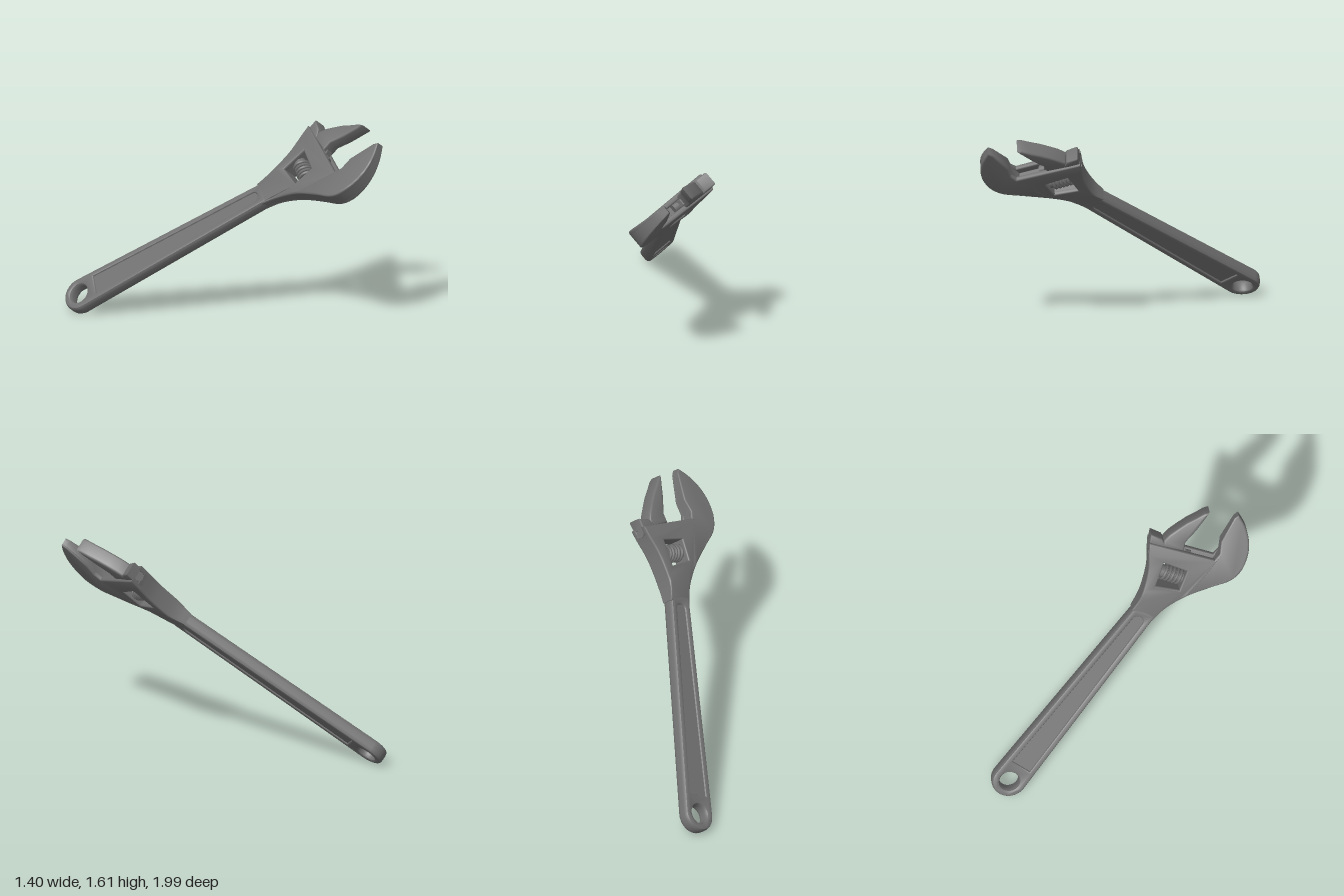
import * as THREE from 'three';
import { toCreasedNormals } from 'three/addons/utils/BufferGeometryUtils.js';

const steel = new THREE.MeshStandardMaterial({ color: 0x707070 });
steel.name = 'steel grey';

const vecs = (pts) => pts.map(([x, y]) => new THREE.Vector2(x, y));
const mix = THREE.MathUtils.lerp;
const ramp = THREE.MathUtils.smoothstep;

// Plate between z0 and z1 whose bevel stays inside the drawn outline
function plate(name, outline, holes, z0, z1, bevel, bevelDepth = bevel, warp) {
  const shape = new THREE.Shape(outline);
  holes.forEach((h) => shape.holes.push(new THREE.Path(h)));
  let geo = new THREE.ExtrudeGeometry(shape, {
    depth: z1 - z0 - 2 * bevelDepth,
    bevelEnabled: bevel > 0,
    bevelSize: bevel,
    bevelThickness: bevelDepth,
    bevelOffset: -bevel,
    bevelSegments: 3,
    curveSegments: 24,
  });
  geo.translate(0, 0, z0 + bevelDepth);
  if (warp) {
    const p = geo.attributes.position;
    for (let i = 0; i < p.count; i++) p.setZ(i, p.getZ(i) * warp(p.getX(i), p.getY(i)));
  }
  geo = toCreasedNormals(geo, 0.6);
  const mesh = new THREE.Mesh(geo, steel);
  mesh.name = name;
  return mesh;
}

function arc(radius, from, to, n) {
  return Array.from({ length: n + 1 }, (_, i) => {
    const a = mix(from, to, i / n);
    return new THREE.Vector2(radius * Math.cos(a), radius * Math.sin(a));
  });
}

// Tapered panel with a rounded far end
function panel(w0, w1, y0, y1) {
  const end = arc(w1, 0, Math.PI, 12).map((p) => new THREE.Vector2(p.x, p.y + y1 - w1));
  return [new THREE.Vector2(-w0, y0), new THREE.Vector2(w0, y0), ...end];
}

// Handle: eye at the origin, running along +y
function makeHandle() {
  const g = new THREE.Group();
  g.name = 'handle';
  const outline = [
    ...vecs([[0.085, 1.63], [-0.085, 1.63]]),
    ...arc(0.125, Math.PI, Math.PI * 2, 24),
  ];
  const eye = arc(0.068, 0, Math.PI * 2, 28).slice(0, -1);
  g.add(plate('handleRim', outline, [eye, panel(0.07, 0.035, 0.145, 1.56)], -0.048, 0.048, 0.018, 0.03));
  g.add(plate('handlePanel', panel(0.096, 0.06, 0.112, 1.6), [], -0.036, 0.036, 0));
  return g;
}

// Head thins towards the neck and towards the fixed jaw tip
function headTaper(x, y) {
  const neck = mix(0.6, 1, ramp(y, 0.88, 1.06));
  const tip = x > 0.7 ? mix(1, 0.45, THREE.MathUtils.clamp((y - 1.15) / 0.4, 0, 1)) : 1;
  return neck * tip;
}

function makeHead() {
  const g = new THREE.Group();
  g.name = 'head';
  const curve = (pts, n) => new THREE.SplineCurve(vecs(pts)).getPoints(n);
  const belly = curve([[0.255, 0.815], [0.36, 0.9], [0.515, 0.98], [0.7, 1.03], [0.835, 1.06],
    [0.92, 1.125], [0.98, 1.235], [1.0, 1.35], [0.986, 1.46], [0.95, 1.555]], 36);
  const jawFace = vecs([[0.918, 1.535], [0.805, 1.37], [0.785, 1.28]]);
  const back = curve([[0.285, 1.36], [0.265, 1.22], [0.2, 1.04], [0.125, 0.93]], 12);
  const outline = (seat) => [...belly, ...jawFace, ...vecs(seat), ...back];
  const window_ = vecs([[0.54, 1.188], [0.386, 1.28], [0.31, 1.104], [0.472, 1.046]]);

  // Two cheeks with a lower core between them form the slide channel
  const cheeks = outline([[0.745, 1.24], [0.3, 1.455]]);
  const core = outline([[0.72, 1.19], [0.285, 1.395]]);
  g.add(plate('headCore', core, [window_], -0.046, 0.046, 0, 0, headTaper));
  for (const s of [-1, 1]) {
    const [z0, z1] = s > 0 ? [0.03, 0.072] : [-0.072, -0.03];
    g.add(plate('headCheek', cheeks, [window_], z0, z1, 0.012, 0.012, headTaper));
  }
  return g;
}

function makeMovableJaw() {
  const g = new THREE.Group();
  g.name = 'movableJaw';
  const outline = vecs([[0.535, 1.345], [0.555, 1.41], [0.64, 1.49], [0.722, 1.585], [0.748, 1.622],
    [0.71, 1.617], [0.65, 1.59], [0.58, 1.563], [0.51, 1.525], [0.45, 1.49], [0.405, 1.45],
    [0.395, 1.4]]);
  g.add(plate('jaw', outline, [], -0.055, 0.055, 0.015));
  // Shoulder at the back of the slide
  const shoulder = vecs([[0.42, 1.395], [0.395, 1.465], [0.32, 1.515], [0.3, 1.44]]);
  g.add(plate('jawShoulder', shoulder, [], -0.055, 0.055, 0.01));
  const web = vecs([[0.55, 1.27], [0.55, 1.36], [0.4, 1.44], [0.31, 1.45], [0.31, 1.385]]);
  g.add(plate('jawWeb', web, [], -0.024, 0.024, 0));
  // Round slide bar in the channel
  const bar = new THREE.Mesh(new THREE.CylinderGeometry(0.034, 0.034, 0.31, 20), steel);
  bar.name = 'slideBar';
  bar.position.set(0.435, 1.35, 0);
  bar.rotation.z = 1.11;
  g.add(bar);
  return g;
}

// Adjusting worm: core with one helical thread, axis parallel to the slide
function makeWorm() {
  const g = new THREE.Group();
  g.name = 'adjustingWorm';
  const core = new THREE.Mesh(new THREE.CylinderGeometry(0.046, 0.046, 0.18, 20), steel);
  core.name = 'wormCore';
  const turns = 5;
  const pts = Array.from({ length: turns * 16 + 1 }, (_, i) => {
    const a = (i / 16) * Math.PI * 2;
    return new THREE.Vector3(0.055 * Math.cos(a), -0.07 + (0.14 * i) / (turns * 16), 0.055 * Math.sin(a));
  });
  const helix = new THREE.CatmullRomCurve3(pts);
  const thread = new THREE.Mesh(new THREE.TubeGeometry(helix, turns * 24, 0.011, 6), steel);
  thread.name = 'wormThread';
  g.add(core, thread);
  g.position.set(0.427, 1.157, 0);
  g.rotation.z = 1.08;
  return g;
}

export function createModel() {
  const wrench = new THREE.Group();
  wrench.name = 'adjustableWrench';
  const handle = makeHandle();
  handle.position.set(-0.87, -0.3, 0);
  handle.rotation.z = -Math.atan2(0.672, 0.7405);
  wrench.add(handle, makeHead(), makeMovableJaw(), makeWorm());

  // Tilt the flat wrench into its leaning pose
  const a = Math.atan2(0.759, 0.651);
  const c = Math.cos(a), s = Math.sin(a);
  const basis = new THREE.Matrix4().makeBasis(
    new THREE.Vector3(0, 0, 1), new THREE.Vector3(c, s, 0), new THREE.Vector3(-s, c, 0));
  wrench.quaternion.setFromRotationMatrix(basis);
  wrench.position.set(-0.391, 0.335, 0);

  const model = new THREE.Group();
  model.name = 'model';
  model.add(wrench);
  return model;
}
